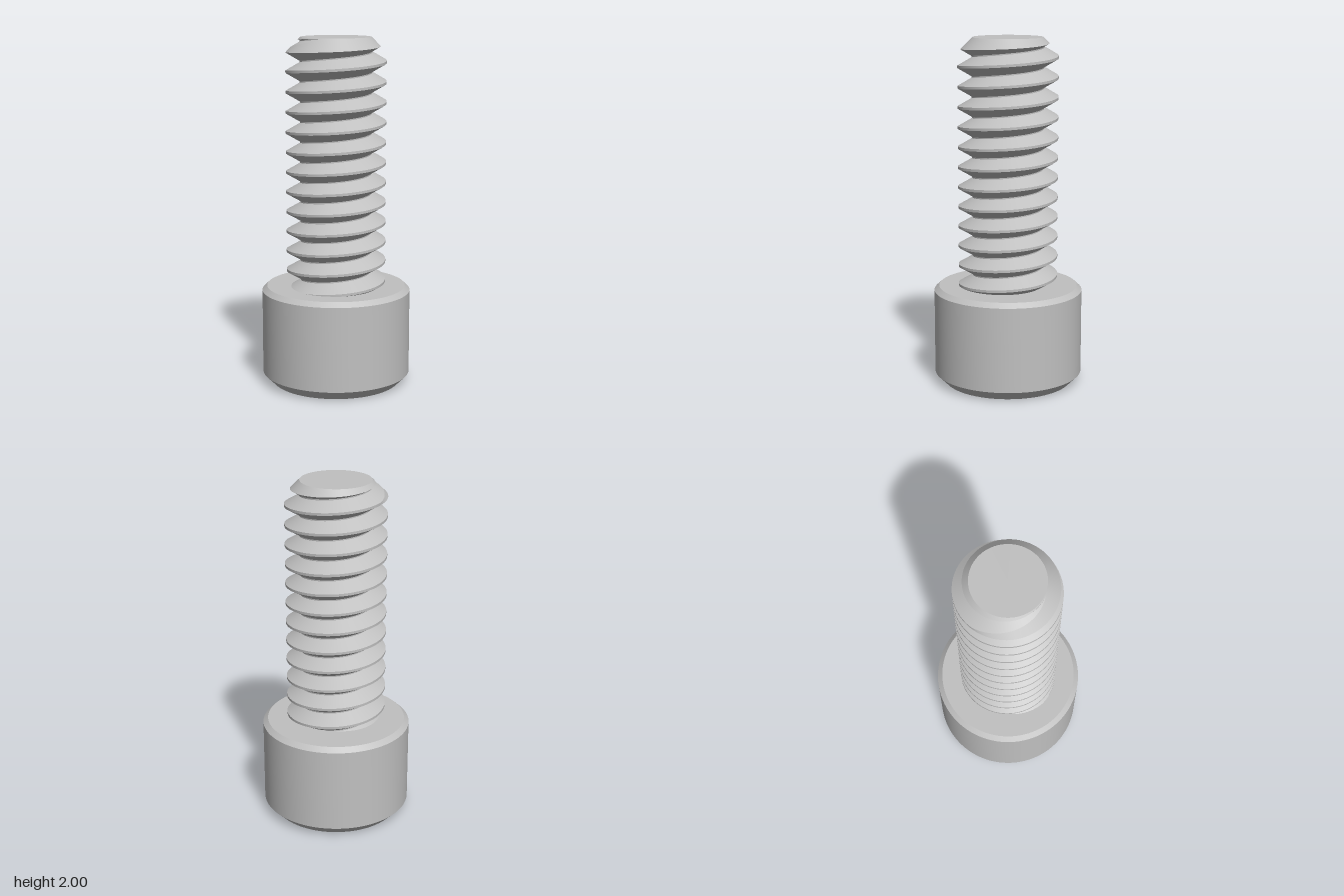
import * as THREE from 'three';
import { toCreasedNormals } from 'three/addons/utils/BufferGeometryUtils.js';

const SEGMENTS = 96;

// Surface from upright profiles: profile(angle) gives [radius, height] points
function sweepProfile(profile, crease) {
  const positions = [], index = [];
  let n = 0;
  for (let i = 0; i <= SEGMENTS; i++) {
    const a = (i / SEGMENTS) * Math.PI * 2;
    const points = profile(a);
    n = points.length;
    for (const [r, y] of points) positions.push(r * Math.cos(a), y, -r * Math.sin(a));
  }
  for (let i = 0; i < SEGMENTS; i++) {
    for (let j = 0; j < n - 1; j++) {
      const a = i * n + j, b = a + n;
      index.push(a, b, a + 1, b, b + 1, a + 1);
    }
  }
  const geometry = new THREE.BufferGeometry();
  geometry.setAttribute('position', new THREE.Float32BufferAttribute(positions, 3));
  geometry.setIndex(index);
  return toCreasedNormals(geometry, crease);
}

// Head: cylinder with a wide bottom chamfer and a narrow top one
const HEAD_TOP = 0.571, HOLE = 0.247;
const headProfile = () => [
  [HOLE, 0], [0.371, 0], [0.428, 0.057], [0.428, 0.545], [0.4, HEAD_TOP], [0, HEAD_TOP],
];

// Hexagonal socket with a conical lead-in, corners on the x axis
function socketProfile(a) {
  const sector = Math.PI / 3;
  const r = HOLE * Math.cos(sector / 2) / Math.cos((a % sector) - sector / 2);
  return [[0, 0.274], [r, 0.274], [r, HOLE - r], [HOLE, 0]];
}

// Right-hand thread, its upper end cut by a 45 degree cone
const PITCH = 0.1143, ROOT = 0.205, DEPTH = 0.0807;
const SLOPE = Math.tan(Math.PI / 6), HALF_CREST = 0.0072;
const TOP = 2, TIP = 0.2, CONE = TOP + TIP;

function threadProfile(a) {
  const points = [];
  const clampDepth = (t) => Math.min(DEPTH, Math.max(0, t));
  for (let k = -13; k <= 2; k++) {
    const crest = 1.878 + PITCH * (k + a / (2 * Math.PI));
    const half = HALF_CREST + DEPTH * SLOPE;
    const low = Math.min(crest - half, CONE - ROOT);
    const high = Math.min(crest + half, CONE - ROOT);
    // Shorten each flank where it would pass through the cone
    const t1 = clampDepth((CONE - ROOT - low) / (1 + SLOPE));
    const t2 = clampDepth((CONE - ROOT - high) / (1 - SLOPE));
    points.push(
      [ROOT, low], [ROOT + t1, low + t1 * SLOPE],
      [ROOT + t2, high - t2 * SLOPE], [ROOT, high],
    );
  }
  points.push([TIP, TOP], [0, TOP]);
  return points;
}

export function createModel() {
  const steel = new THREE.MeshStandardMaterial({ color: 0xc0c0c0 });
  steel.name = 'steel grey';
  const group = new THREE.Group();
  group.name = 'socketHeadScrew';
  const parts = { head: headProfile, hexSocket: socketProfile, threadedShank: threadProfile };
  for (const [name, profile] of Object.entries(parts)) {
    const mesh = new THREE.Mesh(sweepProfile(profile, 0.2), steel);
    mesh.name = name;
    group.add(mesh);
  }
  return group;
}
